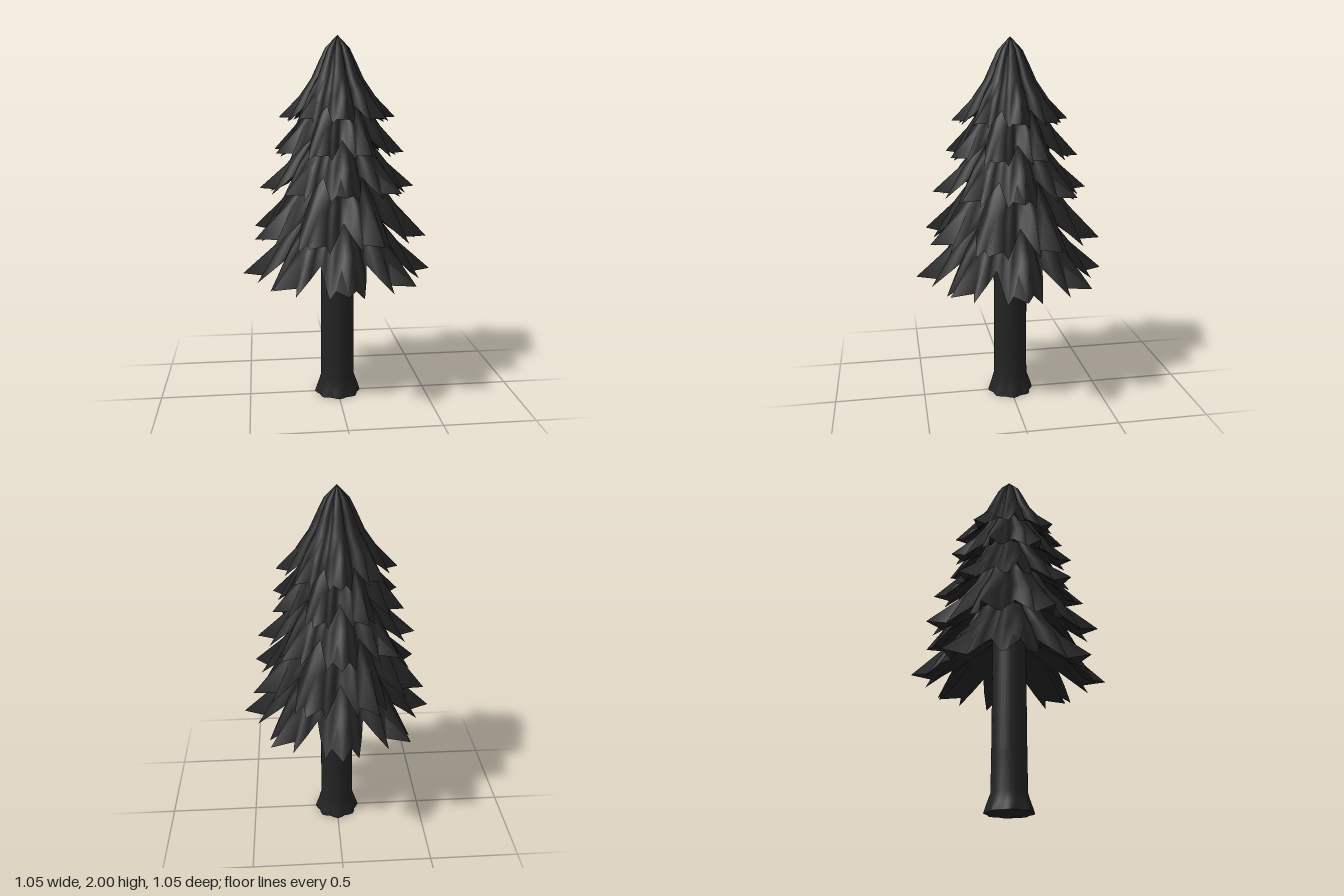
import * as THREE from 'three';

const BRANCHES = 8;
const HALF = Math.PI / BRANCHES;

// One branch across: [offset from its middle, rim radius factor, rim height shift]
const half = [[-1, 0.6, 0.1], [-0.75, 0.72, 0.04], [-0.5, 0.87, -0.035], [-0.33, 0.77, -0.005], [0, 1, 0]];
const branch = [...half, ...half.slice(1, 4).reverse().map(([o, r, d]) => [-o, r, d])];

// Slope from the top to the tip: [radius fraction, drop fraction]
const slope = [[0, 0], [0.21, 0.16], [0.33, 0.34], [0.45, 0.53], [0.65, 0.74]];

// Joins rings of equal length into a smooth skin
function skin(rings) {
  const n = rings[0].length;
  const index = [];
  for (let i = 0; i < rings.length - 1; i++) {
    for (let j = 0; j < n; j++) {
      const k = (j + 1) % n;
      const a = i * n + j, b = i * n + k, c = a + n, d = b + n;
      index.push(a, c, b, b, c, d);
    }
  }
  const geometry = new THREE.BufferGeometry();
  geometry.setAttribute('position', new THREE.Float32BufferAttribute(rings.flat(2), 3));
  geometry.setIndex(index);
  geometry.computeVertexNormals();
  return geometry;
}

// A skirt of eight drooping, three-pointed branches with a hollow underside
function tier({ radius, tipY, height, turn }, material) {
  const top = tipY + height;
  const s = radius / 0.523;
  const ring = (fn) => {
    const points = [];
    for (let b = 0; b < BRANCHES; b++) {
      for (const [o, rimR, rimD] of branch) {
        const angle = (b * 2 + o + turn) * HALF;
        const [r, y] = fn(o, rimR, rimD);
        points.push([Math.sin(angle) * r, y, Math.cos(angle) * r]);
      }
    }
    return points;
  };
  // Branches are rounded across, with a crease between neighbours
  const body = slope.map(([f, g]) => ring((o) => {
    const sag = Math.abs(o) ** 3;
    return [f * radius * (1 - 0.33 * sag), top - g * (height - 0.1 * s * sag)];
  }));
  const rim = ring((o, r, d) => [r * radius, tipY + d * s]);
  const under = ring((o) => [0.5 * radius * (1 - 0.2 * o * o), tipY + (0.17 - 0.03 * o * o) * s]);
  const inner = ring(() => [0.05, tipY + 0.24 * s]);

  const group = new THREE.Group();
  const outside = new THREE.Mesh(skin([...body, rim]), material);
  outside.name = 'branchTops';
  const inside = new THREE.Mesh(skin([rim, under, inner]), material);
  inside.name = 'branchUndersides';
  group.add(outside, inside);
  return group;
}

export function createModel() {
  const model = new THREE.Group();
  model.name = 'pineTree';
  const foliage = new THREE.MeshStandardMaterial({ color: 0x222222, side: THREE.DoubleSide });
  foliage.name = 'dark foliage';
  const bark = new THREE.MeshStandardMaterial({ color: 0x232324, side: THREE.DoubleSide });
  bark.name = 'dark bark';

  // Trunk with a lobed, flared foot
  const sides = 32;
  const trunkRing = (r, y, lobe) => Array.from({ length: sides }, (_, j) => {
    const a = (j / sides) * Math.PI * 2;
    const q = r + lobe * Math.cos(a * 8);
    return [Math.sin(a) * q, y, Math.cos(a) * q];
  });
  const trunk = new THREE.Mesh(skin([
    trunkRing(0.092, 0.95, 0), trunkRing(0.093, 0.3, 0),
    trunkRing(0.095, 0.1, 0), trunkRing(0.112, 0.04, 0.005), trunkRing(0.122, 0, 0.008),
  ]), bark);
  trunk.name = 'trunk';
  const foot = new THREE.Mesh(skin([trunkRing(0.122, 0, 0.008), trunkRing(0, 0, 0)]), bark);
  foot.name = 'trunkBottom';
  model.add(trunk, foot);

  // Five tiers, every second one turned by half a branch
  const tiers = [
    { radius: 0.525, tipY: 0.715, height: 0.62, turn: 0 },
    { radius: 0.493, tipY: 0.945, height: 0.62, turn: 1 },
    { radius: 0.425, tipY: 1.19, height: 0.5, turn: 0 },
    { radius: 0.365, tipY: 1.39, height: 0.5, turn: 1 },
    { radius: 0.315, tipY: 1.57, height: 0.43, turn: 0 },
  ];
  tiers.forEach((spec, i) => {
    const t = tier(spec, foliage);
    t.name = 'foliageTier' + (i + 1);
    model.add(t);
  });
  return model;
}
